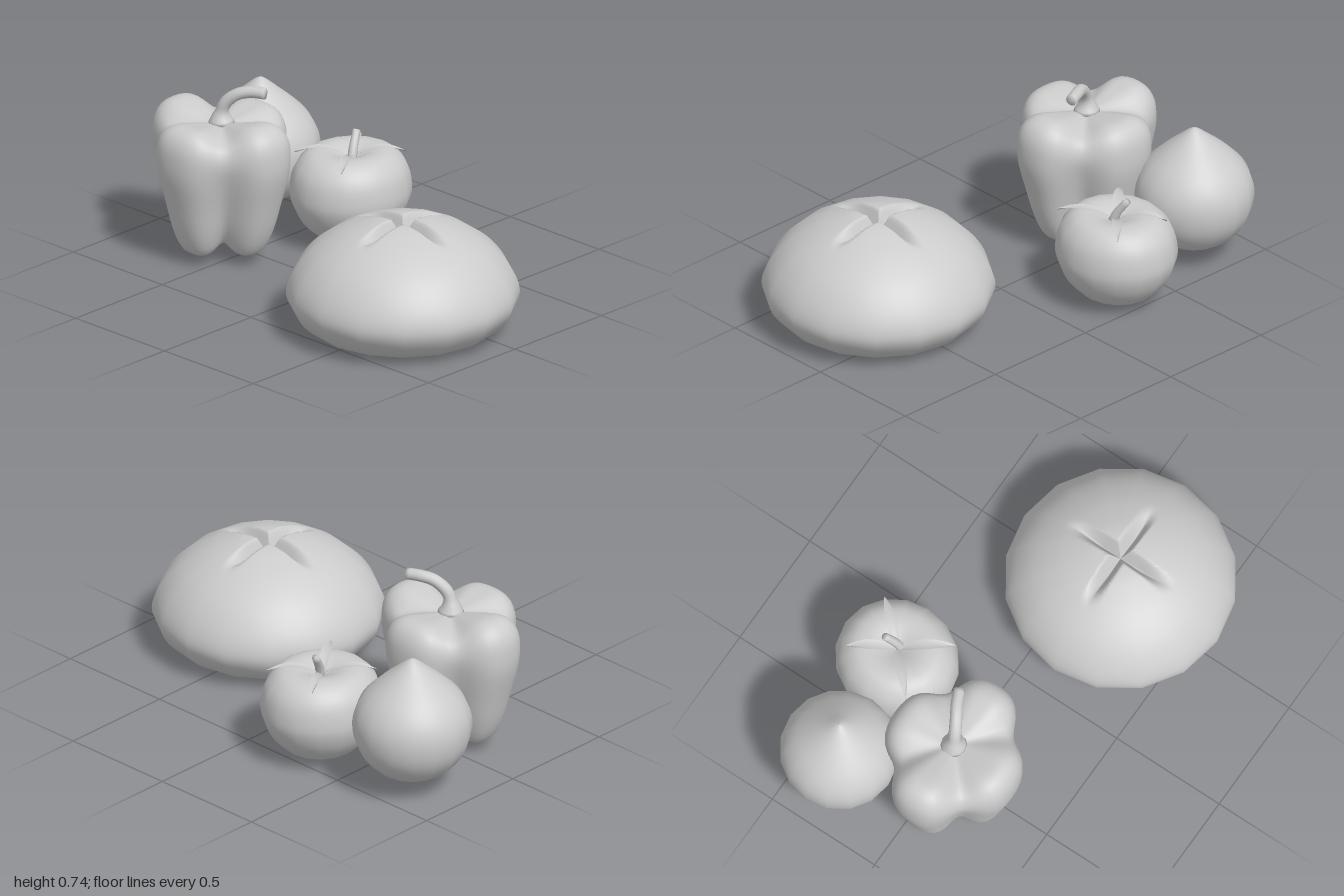
import * as THREE from 'three';

const material = new THREE.MeshStandardMaterial({ color: 0xcccccc });
const thinMaterial = new THREE.MeshStandardMaterial({ color: 0xcccccc, side: THREE.DoubleSide });

// Closed smooth skin: place(u, angle) gives [x, y, z], u running bottom to top.
// Its outline is then flattened to a polygon with the given number of sides.
function skin(rows, cols, place, sides = 0) {
  const pos = [], index = [];
  for (let i = 0; i <= rows; i++) {
    for (let j = 0; j < cols; j++) {
      pos.push(...place(i / rows, (j / cols) * Math.PI * 2));
      if (i === rows) continue;
      const k = (j + 1) % cols, a = i * cols;
      index.push(a + j, a + k, a + cols + j, a + k, a + cols + k, a + cols + j);
    }
  }
  const g = new THREE.BufferGeometry();
  g.setAttribute('position', new THREE.Float32BufferAttribute(pos, 3));
  g.setIndex(index);
  g.computeVertexNormals();
  if (sides) {
    const p = g.attributes.position, step = (Math.PI * 2) / sides;
    for (let i = 0; i < p.count; i++) {
      const a = ((i % cols) / cols) * Math.PI * 2;
      const off = (a % step) - step / 2;
      const s = Math.cos(step / 2) / Math.cos(off);
      p.setXYZ(i, p.getX(i) * s, p.getY(i), p.getZ(i) * s);
    }
  }
  return g;
}

const profile = (pts) => new THREE.SplineCurve(pts.map(([r, y]) => new THREE.Vector2(r, y)));

function add(parent, name, geometry, mat = material) {
  const m = new THREE.Mesh(geometry, mat);
  m.name = name;
  parent.add(m);
  return m;
}

function group(parent, name, x, z) {
  const g = new THREE.Group();
  g.name = name;
  g.position.set(x, 0, z);
  parent.add(g);
  return g;
}

// Round stalk along a path, with a radius rule and closed ends
function stalk(points, radiusAt, rows = 14, cols = 10) {
  const curve = new THREE.CatmullRomCurve3(points.map((p) => new THREE.Vector3(...p)));
  const frames = curve.computeFrenetFrames(rows);
  return skin(rows + 2, cols, (u, a) => {
    const i = Math.round(u * (rows + 2));
    const k = Math.min(Math.max(i - 1, 0), rows);
    const r = i === 0 || i === rows + 2 ? 0 : radiusAt(k / rows);
    const p = curve.getPointAt(k / rows);
    p.addScaledVector(frames.normals[k], r * Math.cos(a));
    p.addScaledVector(frames.binormals[k], r * Math.sin(a));
    return p.toArray();
  });
}

function addBread(root) {
  const bread = group(root, 'bread', -0.16, 0.525);
  const side = profile([[0.27, 0], [0.37, 0.025], [0.44, 0.085], [0.472, 0.16], [0.445, 0.25],
    [0.37, 0.345], [0.26, 0.42], [0.14, 0.465], [0.06, 0.477], [0, 0.478]]);
  // Loaf with a cross cut sunk into the crown
  add(bread, 'loaf', skin(54, 128, (u, a) => {
    const p = side.getPoint(u);
    const x = p.x * Math.sin(a), z = p.x * Math.cos(a);
    const across = Math.min(Math.abs(x), Math.abs(z));
    const open = Math.max(0, 1 - across / 0.034);
    const fade = 1 - THREE.MathUtils.smoothstep(p.x, 0.08, 0.26);
    const cut = p.y > 0.3 ? 0.08 * open * fade : 0;
    return [x, p.y - cut, z];
  }, 16));
  const base = add(bread, 'loafBase', new THREE.CircleGeometry(0.27, 16));
  base.rotation.x = Math.PI / 2;
}

function addPepper(root) {
  const pepper = group(root, 'pepper', -0.09, -0.565);
  // Profiles through a lobe and through the groove between two lobes
  const lobe = profile([[0, 0.1], [0.07, 0.06], [0.13, 0.04], [0.19, 0.06], [0.235, 0.15],
    [0.27, 0.28], [0.3, 0.4], [0.306, 0.48], [0.297, 0.55], [0.265, 0.6], [0.21, 0.62],
    [0.13, 0.602], [0.05, 0.578], [0, 0.57]]);
  const groove = profile([[0, 0.1], [0.04, 0.09], [0.08, 0.085], [0.12, 0.1], [0.16, 0.17],
    [0.195, 0.28], [0.225, 0.38], [0.245, 0.46], [0.242, 0.51], [0.22, 0.548], [0.175, 0.565],
    [0.11, 0.572], [0.05, 0.572], [0, 0.57]]);
  add(pepper, 'pepperBody', skin(39, 64, (u, a) => {
    const w = 1 - Math.pow(Math.sin(2 * a), 4);
    const p = groove.getPoint(u).lerp(lobe.getPoint(u), w);
    const sink = 0.025 * Math.sin(a) ** 2 * Math.min(1, p.x / 0.2) * u;
    return [p.x * Math.sin(a) * 0.95, p.y - sink, p.x * Math.cos(a) * 1.07];
  }));
  // Hooked stalk, flared where it meets the body
  add(pepper, 'pepperStalk', stalk(
    [[0, 0.565, 0], [0, 0.6, 0], [0.005, 0.655, 0.015], [0.03, 0.7, 0.06], [0.06, 0.715, 0.11], [0.085, 0.715, 0.165]],
    (t) => 0.027 + 0.03 * Math.max(0, 1 - t / 0.2) - 0.003 * t, 18, 12));
}

function addTomato(root) {
  const tomato = group(root, 'tomato', 0.375, -0.29);
  const side = profile([[0, 0.01], [0.07, 0.014], [0.15, 0.045], [0.215, 0.11], [0.25, 0.18],
    [0.257, 0.24], [0.24, 0.32], [0.19, 0.378], [0.13, 0.393], [0.07, 0.382], [0, 0.35]]);
  add(tomato, 'tomatoBody', skin(30, 48, (u, a) => {
    const p = side.getPoint(u);
    return [p.x * Math.sin(a), p.y, p.x * Math.cos(a) * 0.93];
  }, 16));
  // Slim folded sepals spread in a cross: half width, height, along the length
  const section = [[0.01, 0.365], [0.017, 0.388], [0.021, 0.403], [0.02, 0.408], [0.013, 0.4], [0, 0.385]];
  for (const [x, z] of [[-0.155, -0.165], [0.175, -0.115], [-0.2, 0.14], [0.165, 0.15]]) {
    const g = new THREE.PlaneGeometry(1, 1, 2, section.length - 1);
    const p = g.attributes.position;
    const len = Math.hypot(x, z);
    for (let i = 0; i < p.count; i++) {
      const row = Math.floor(i / 3), t = row / (section.length - 1), s = (i % 3) - 1;
      const [w, y] = section[row];
      p.setXYZ(i, x * t + (s * w * z) / len, y - (s === 0 ? 0.006 : 0), z * t - (s * w * x) / len);
    }
    // Corners run so that the face looks up
    g.computeVertexNormals();
    add(tomato, 'tomatoSepal', g, thinMaterial);
  }
  add(tomato, 'tomatoStalk', stalk([[-0.01, 0.35, 0.015], [0.01, 0.4, 0.005], [0.05, 0.46, -0.015]],
    (t) => 0.02 - 0.004 * t, 6, 8));
}

function addOnion(root) {
  const onion = group(root, 'onion', 0.335, -0.76);
  const side = profile([[0, 0.06], [0.06, 0.066], [0.125, 0.09], [0.185, 0.14], [0.228, 0.21],
    [0.243, 0.29], [0.232, 0.36], [0.195, 0.425], [0.135, 0.485], [0.07, 0.54], [0.025, 0.577], [0, 0.59]]);
  add(onion, 'onionBulb', skin(33, 48, (u, a) => {
    const p = side.getPoint(u);
    return [p.x * Math.sin(a), p.y, p.x * Math.cos(a)];
  }, 16));
}

export function createModel() {
  const root = new THREE.Group();
  root.name = 'breadAndVegetables';
  addBread(root);
  addPepper(root);
  addTomato(root);
  addOnion(root);
  return root;
}
